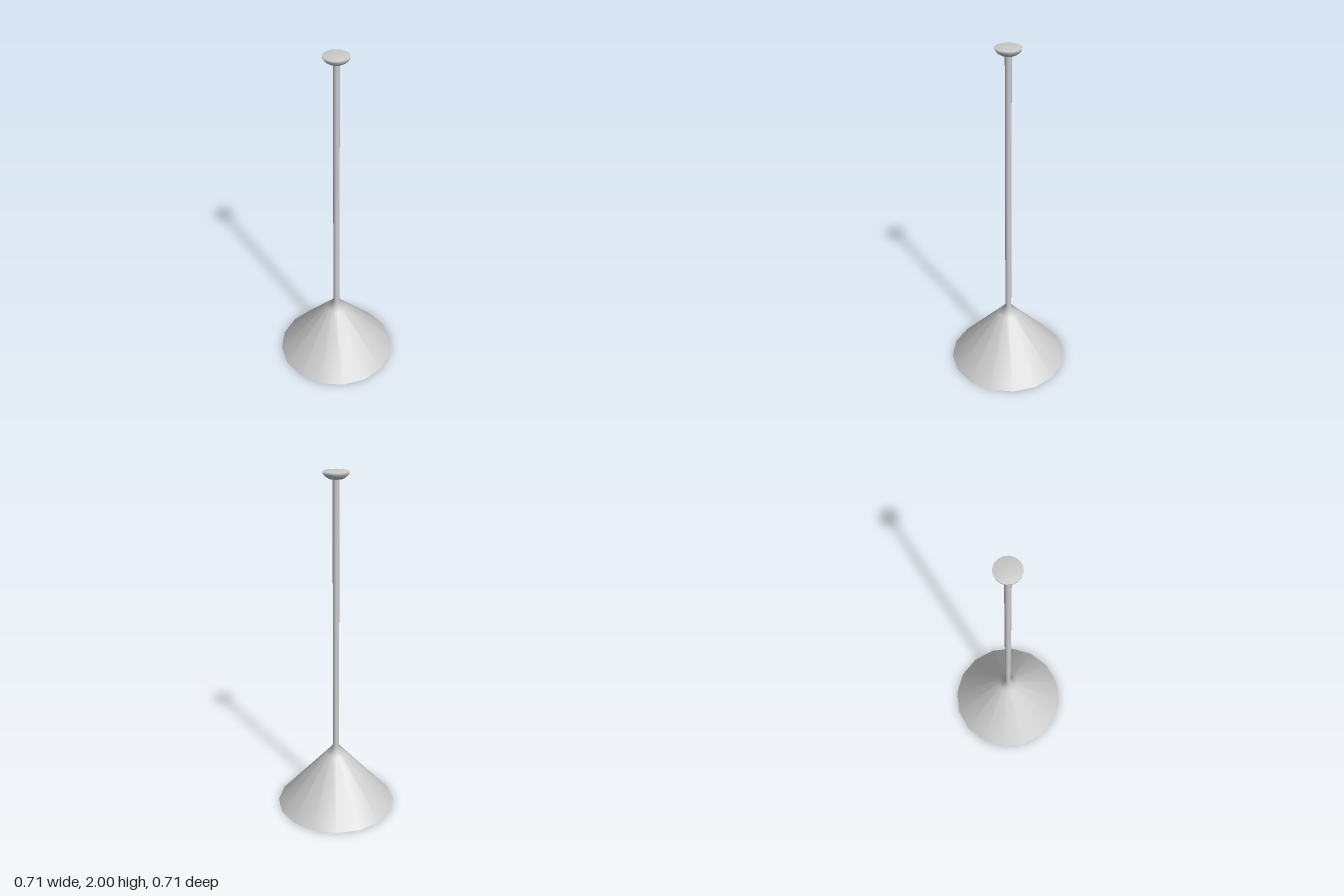
import * as THREE from 'three';

const SIDES = 16;

export function createModel() {
  const group = new THREE.Group();
  group.name = 'pendantLamp';
  const material = new THREE.MeshStandardMaterial({ color: 0xcccccc });

  const add = (name, geometry, y = 0) => {
    const mesh = new THREE.Mesh(geometry, material);
    mesh.name = name;
    mesh.position.y = y;
    group.add(mesh);
  };
  // Profiles are [radius, height]; going upwards faces outwards
  const lathe = (points) =>
    new THREE.LatheGeometry(points.map(([r, y]) => new THREE.Vector2(r, y)), SIDES);

  // Shade, rod and ceiling canopy are one continuous smooth skin
  add('shadeRodAndCanopy', lathe([
    [0.353, 0], [0.062, 0.33], [0.018, 0.38],
    [0.018, 1.957],
    [0.04, 1.962], [0.058, 1.973], [0.069, 1.987], [0.071, 2], [0, 2],
  ]));

  // Thin rim and inner face of the shade
  add('shadeRim', lathe([[0.348, 0], [0.353, 0]]));
  add('shadeLining', lathe([[0.01, 0.382], [0.348, 0]]));

  // Bulb on a stem hidden inside the shade
  add('bulbStem', new THREE.CylinderGeometry(0.018, 0.018, 0.2, SIDES, 1, true), 0.28);
  add('bulb', new THREE.SphereGeometry(0.082, 24, 16), 0.12);

  return group;
}
